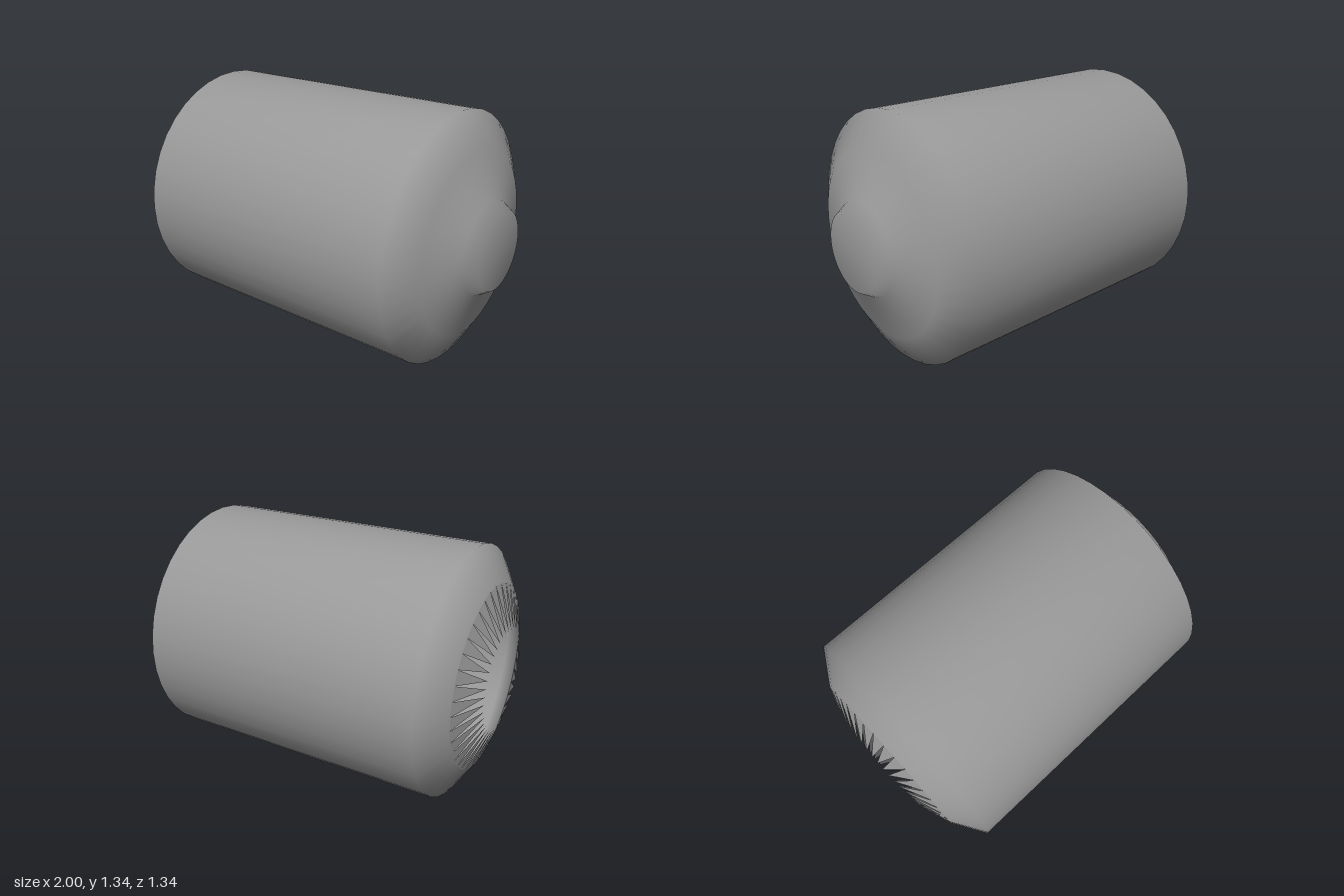
import * as THREE from 'three';

const SIDES = 40;
const RADIUS = 0.67;

export function createModel() {
  const group = new THREE.Group();
  group.name = 'canister';
  const grey = new THREE.MeshStandardMaterial({ color: 0x999999, side: THREE.DoubleSide });
  grey.name = 'grey';

  // Hollow shell lying along x: open rim, straight wall, shoulder, short closed neck
  const profile = [
    [0.49, -0.92], [RADIUS, -0.81], [RADIUS, 0.75], [0.49, 0.855],
    [0.25, 0.935], [0.21, 1], [0, 1],
  ].map(([r, x]) => new THREE.Vector2(r, x));
  const shellGeometry = new THREE.LatheGeometry(profile, SIDES);
  shellGeometry.rotateZ(-Math.PI / 2);
  const shell = new THREE.Mesh(shellGeometry, grey);
  shell.name = 'shell';

  // Ring of pointed teeth leaning inward from the open rim
  const ring = (x, r, a) => [x, r * Math.cos(a), r * Math.sin(a)];
  const positions = [];
  const step = (Math.PI * 2) / SIDES;
  for (let i = 0; i < SIDES; i++) {
    const a = i * step;
    positions.push(
      ...ring(-0.92, 0.49, a),
      ...ring(-1, 0.26, a + step / 2),
      ...ring(-0.92, 0.49, a + step),
    );
  }
  const teethGeometry = new THREE.BufferGeometry();
  teethGeometry.setAttribute('position', new THREE.Float32BufferAttribute(positions, 3));
  teethGeometry.computeVertexNormals();
  const teeth = new THREE.Mesh(teethGeometry, grey);
  teeth.name = 'rimTeeth';

  group.add(shell, teeth);
  group.children.forEach((part) => { part.position.y = RADIUS; });
  return group;
}
